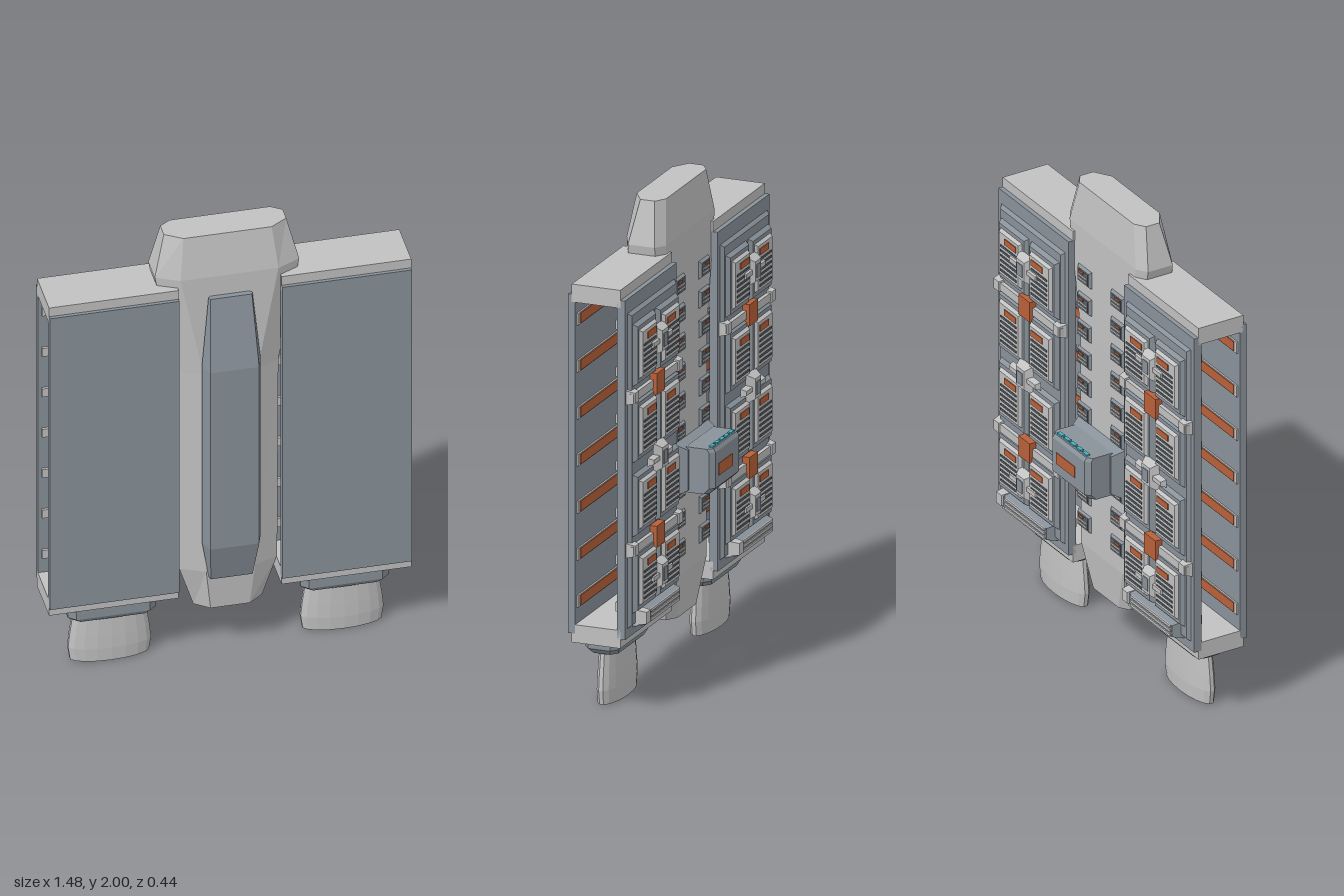
import * as THREE from 'three';

const mat = (name, color) => Object.assign(new THREE.MeshStandardMaterial({ color }), { name });
const LIGHT = mat('light grey shell', 0xc2c1c1);
const SLATE = mat('slate panel', 0x89929a);
const DARK = mat('dark slots', 0x596067);
const ORANGE = mat('burnt orange', 0xb9613a);
const CYAN = mat('cyan lights', 0x45b4c4);

function add(parent, name, geo, material, x = 0, y = 0, z = 0) {
  const mesh = new THREE.Mesh(geo, material);
  mesh.name = name;
  mesh.position.set(x, y, z);
  parent.add(mesh);
  return mesh;
}

function group(parent, name, x = 0, y = 0, z = 0) {
  const g = new THREE.Group();
  g.name = name;
  g.position.set(x, y, z);
  parent.add(g);
  return g;
}

const box = (w, h, d) => new THREE.BoxGeometry(w, h, d);

// Block whose rear (-z) face is inset; its root sits at z = 0
function bevel(w, h, d, inset) {
  const geo = box(w, h, d).translate(0, 0, -d / 2);
  const p = geo.attributes.position;
  for (let i = 0; i < p.count; i++) {
    if (p.getZ(i) > -d / 2) continue;
    p.setX(i, p.getX(i) - Math.sign(p.getX(i)) * inset);
    p.setY(i, p.getY(i) - Math.sign(p.getY(i)) * inset);
  }
  geo.computeVertexNormals();
  return geo;
}

// Faceted skin through rings of [x, y, z], listed counter-clockwise from above
function loft(rings) {
  const v = [];
  const n = rings[0].length;
  const top = rings[rings.length - 1];
  const tri = (...pts) => pts.forEach((p) => v.push(...p));
  for (let r = 0; r < rings.length - 1; r++) {
    for (let i = 0; i < n; i++) {
      const j = (i + 1) % n, a = rings[r], b = rings[r + 1];
      tri(a[i], a[j], b[j]);
      tri(a[i], b[j], b[i]);
    }
  }
  for (let i = 1; i < n - 1; i++) {
    tri(top[0], top[i], top[i + 1]);
    tri(rings[0][0], rings[0][i + 1], rings[0][i]);
  }
  const geo = new THREE.BufferGeometry();
  geo.setAttribute('position', new THREE.Float32BufferAttribute(v, 3));
  geo.computeVertexNormals();
  return geo;
}

// Symmetric ring from its +x half, listed front to back as [x, z]
const ring = (y, half) => [
  ...half.map(([x, z]) => [x, y, z]),
  ...half.slice().reverse().map(([x, z]) => [-x, y, z]),
];

// One louvred module on the back of a pod
function tile(parent, x, y, side) {
  const g = group(parent, 'louvredModule', x, y, -0.1);
  add(g, 'moduleFrame', bevel(0.215, 0.265, 0.022, 0.014), SLATE);
  add(g, 'modulePlate', bevel(0.165, 0.205, 0.014, 0.01), LIGHT, 0, 0, -0.021);
  for (let i = 0; i < 6; i++) {
    add(g, 'louvreSlot', box(0.12, 0.009, 0.004), DARK, 0, -0.075 + i * 0.022, -0.036);
  }
  add(g, 'orangeStrip', box(0.085, 0.026, 0.006), ORANGE, side * 0.015, 0.066, -0.036);
}

function pod(parent, sign) {
  const g = group(parent, sign > 0 ? 'leftPod' : 'rightPod', sign * 0.475);

  // Hollow shell, open on both sides
  add(g, 'bottomCap', box(0.53, 0.075, 0.21), LIGHT, 0, 0.32, 0.035);
  add(g, 'topCap', box(0.53, 0.075, 0.21), LIGHT, 0, 1.745, 0.035);
  add(g, 'frontPlate', box(0.53, 1.42, 0.03), SLATE, 0, 1.03, 0.14);
  add(g, 'backPlate', box(0.53, 1.42, 0.035), SLATE, 0, 1.03, -0.0725);
  for (let i = 0; i < 7; i++) {
    const y = 0.45 + i * 0.197;
    add(g, 'frontRib', box(0.5, 0.05, 0.008), LIGHT, 0, y, 0.122);
    add(g, 'frontRibPanel', box(0.46, 0.042, 0.004), ORANGE, 0, y, 0.117);
    add(g, 'backRib', box(0.5, 0.04, 0.012), LIGHT, 0, y, -0.05);
  }

  // Louvred modules in two columns
  add(g, 'modulePanel', bevel(0.48, 1.32, 0.014, 0.012), SLATE, 0, 1.02, -0.09);
  for (const y of [1.5, 1.18, 0.87, 0.55]) {
    for (const s of [-1, 1]) tile(g, s * 0.115, y, -s);
  }

  // Raised couplings between the columns
  for (const y of [1.51, 1.02, 0.53]) {
    const c = group(g, 'coupling', 0, y, -0.12);
    add(c, 'couplingBlock', bevel(0.1, 0.125, 0.033, 0.02), LIGHT);
    add(c, 'couplingWindow', box(0.038, 0.055, 0.005), SLATE, 0, 0, -0.034);
    for (const s of [-1, 1]) add(c, 'couplingArm', bevel(0.08, 0.035, 0.024, 0.008), LIGHT, s * 0.065);
  }

  // Clamp bars with orange buckles
  for (const y of [1.33, 0.69]) {
    add(g, 'clampBar', box(0.5, 0.035, 0.03), LIGHT, 0, y, -0.105);
    add(g, 'clampBuckle', box(0.085, 0.09, 0.032), ORANGE, 0, y, -0.118);
    for (const s of [-1, 1]) add(g, 'clampEnd', bevel(0.055, 0.06, 0.036, 0.008), LIGHT, s * 0.225, y, -0.09);
  }

  // Lower grille
  add(g, 'lowerGrille', bevel(0.38, 0.075, 0.05, 0.012), SLATE, 0, 0.39, -0.09);
  for (let i = 0; i < 3; i++) {
    add(g, 'grilleBar', box(0.3, 0.011, 0.008), LIGHT, -0.02, 0.37 + i * 0.02, -0.141);
  }
  add(g, 'grilleBlock', bevel(0.055, 0.065, 0.055, 0.008), LIGHT, 0.165, 0.395, -0.095);

  // Collar and flattened nozzle
  const collar = (y, w, zf, zb) => ring(y, [[w - 0.03, zf], [w, zf - 0.025], [w, zb + 0.025], [w - 0.03, zb]]);
  add(g, 'nozzleCollar', loft([
    collar(0.213, 0.16, 0.115, -0.005), collar(0.235, 0.18, 0.13, -0.015), collar(0.29, 0.18, 0.13, -0.015),
  ]), SLATE);
  const profile = [[0, 0.16], [0.13, 0.16], [0.145, 0.05], [0.145, 0], [0.163, 0], [0.172, 0.06], [0.166, 0.12], [0.152, 0.215]];
  const lathe = new THREE.LatheGeometry(profile.map(([x, y]) => new THREE.Vector2(x, y)), 18);
  const nozzleGeo = lathe.scale(1, 1, 0.3).toNonIndexed();
  nozzleGeo.computeVertexNormals();
  add(g, 'nozzle', nozzleGeo, LIGHT, 0, 0, 0.055);
}

export function createModel() {
  const model = new THREE.Group();
  model.name = 'thrusterPack';

  // Central hull: width, rear z, front z at each height
  const hullRing = ([y, w, zb, zf, flat]) => ring(y, [
    [flat, zf], [w, zf - 0.045], [w, zb + 0.03], [w - 0.045, zb],
  ]);
  add(model, 'hull', loft([
    [0.213, 0.14, -0.045, 0.14, 0.08],
    [0.4, 0.2, -0.065, 0.15, 0.1],
    [1.36, 0.205, -0.065, 0.15, 0.11],
    [1.82, 0.295, -0.06, 0.13, 0.2],
    [2.0, 0.25, -0.042, 0.095, 0.18],
  ].map(hullRing)), LIGHT);

  // Front spine
  const spineRing = ([y, wf, w, zf, zm]) => ring(y, [[wf, zf], [w, zm], [w * 0.7, 0.11]]);
  add(model, 'frontSpine', loft([
    [0.375, 0.085, 0.09, 0.17, 0.15],
    [0.555, 0.1, 0.12, 0.22, 0.16],
    [1.415, 0.1, 0.12, 0.22, 0.16],
    [1.73, 0.085, 0.09, 0.157, 0.145],
  ].map(spineRing)), SLATE);

  // Vents down the back of the hull
  for (let i = 0; i < 10; i++) {
    for (const s of [-1, 1]) {
      const v = group(model, 'hullVent', s * 0.125, 0.51 + i * 0.123, -0.063);
      add(v, 'ventFrame', bevel(0.1, 0.075, 0.012, 0.008), SLATE);
      add(v, 'ventRecess', box(0.074, 0.05, 0.003), DARK, 0, 0, -0.012);
      for (const y of [-0.014, 0.002]) add(v, 'ventSlat', box(0.066, 0.008, 0.005), LIGHT, 0, y, -0.014);
      add(v, 'ventStrip', box(0.035, 0.009, 0.005), ORANGE, s * 0.012, 0.018, -0.014);
    }
  }

  // Control box on the back
  const control = group(model, 'controlBox', 0, 0.855, 0);
  add(control, 'controlMount', bevel(0.35, 0.22, 0.05, 0.025), SLATE, 0, 0, -0.063);
  const boxRing = (y, zb) => ring(y, [[0.14, -0.1], [0.14, zb + 0.02], [0.12, zb]]);
  add(control, 'controlBody', loft([
    boxRing(-0.095, -0.195), boxRing(-0.07, -0.22), boxRing(0.08, -0.22), boxRing(0.095, -0.21),
  ]), SLATE);
  add(control, 'controlPanel', box(0.14, 0.05, 0.006), ORANGE, 0.02, 0, -0.22);
  for (let i = -2; i <= 2; i++) {
    add(control, 'indicatorLight', box(0.034, 0.009, 0.016), CYAN, i * 0.047, 0.097, -0.196);
  }

  pod(model, 1);
  pod(model, -1);
  return model;
}
